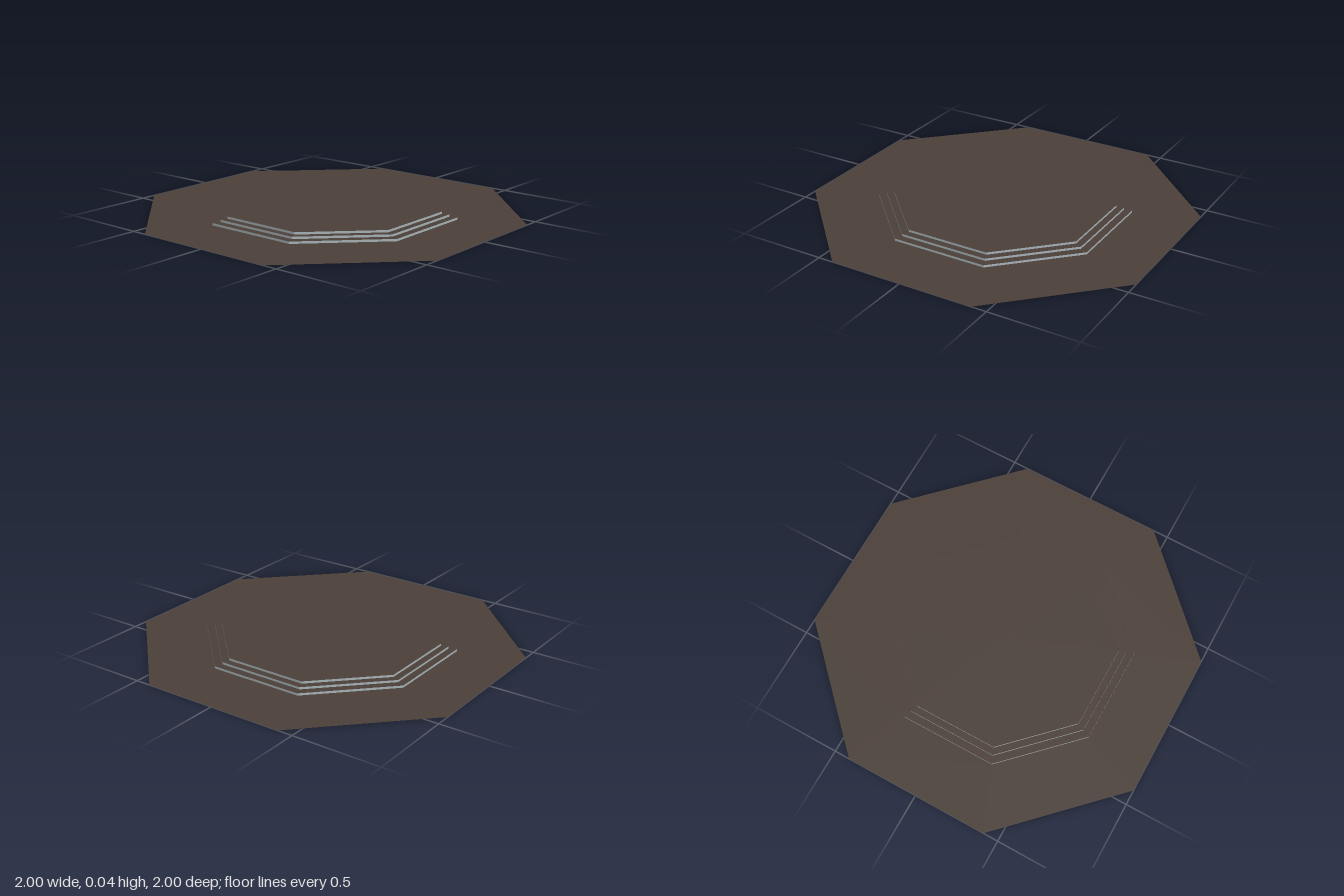
import * as THREE from 'three';

const SIDES = 8;
const HALF = Math.PI / SIDES;
const STEP = 0.0125;

// Corner radius of an octagon from its centre-to-side distance
const corner = (apothem) => apothem / Math.cos(HALF);

export function createModel() {
  const group = new THREE.Group();
  group.name = 'steppedPlatform';

  const floorMaterial = new THREE.MeshStandardMaterial({
    color: 0x4c4039, flatShading: true, side: THREE.DoubleSide });
  floorMaterial.name = 'darkBrown';
  const riserMaterial = new THREE.MeshStandardMaterial({
    color: 0xa8b4b8, flatShading: true, side: THREE.DoubleSide });
  riserMaterial.name = 'paleGrey';

  const add = (name, geometry, material, y) => {
    const mesh = new THREE.Mesh(geometry, material);
    mesh.name = name;
    mesh.position.y = y;
    group.add(mesh);
  };

  // Flat octagonal ring, facing up
  const ring = (inner, outer) =>
    new THREE.RingGeometry(corner(inner), corner(outer), SIDES, 1, HALF).rotateX(-Math.PI / 2);

  // Surrounding floor and the treads, each followed by the riser at its inner edge
  const apothems = [1, 0.656, 0.614, 0.576];
  for (let i = 0; i < 3; i++) {
    const inner = apothems[i + 1];
    add(i === 0 ? 'floor' : `tread${i}`, ring(inner, apothems[i]), floorMaterial, i * STEP);
    const r = corner(inner);
    add(`riser${i + 1}`, new THREE.CylinderGeometry(r, r, STEP, SIDES, 1, true, HALF),
      riserMaterial, (i + 0.5) * STEP);
  }

  // Raised centre
  const top = new THREE.CircleGeometry(corner(apothems[3]), SIDES, HALF).rotateX(-Math.PI / 2);
  add('platformTop', top, floorMaterial, 3 * STEP);

  return group;
}
